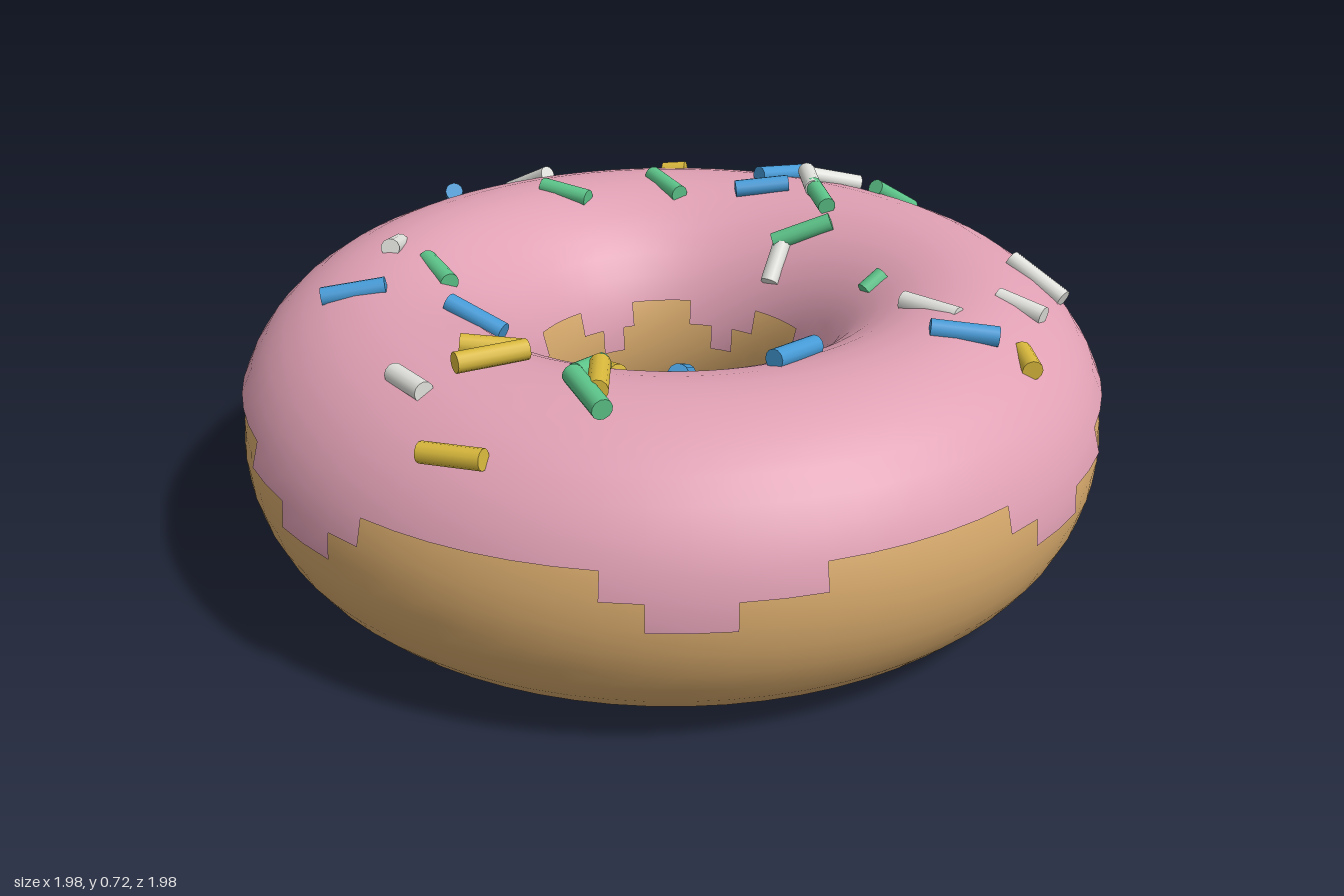
import * as THREE from 'three';

const RING = 0.655, CENTRE_Y = 0.335, DOUGH_R = 0.326, ICING_R = 0.341;
const RADIAL = 36, AROUND = 72;

const paint = (name, color) => {
  const m = new THREE.MeshStandardMaterial({ color });
  m.name = name;
  return m;
};

// Lowest tube angle (degrees above the equator) the icing reaches in a column
function dripLevel(column) {
  const theta = THREE.MathUtils.degToRad((column + 0.5) * 360 / AROUND + 90);
  const wave = -Math.cos(7 * theta);
  return wave > 0.8 ? 0 : wave > 0 ? 10 : 20;
}

// Upper half of a torus, its rim cut into stepped drips
function icingGeometry() {
  const geo = new THREE.TorusGeometry(RING, ICING_R, RADIAL, AROUND);
  const all = geo.index.array, kept = [];
  for (let j = 0; j < RADIAL / 2; j++) {
    const elevation = Math.min(j, RADIAL / 2 - 1 - j) * 360 / RADIAL;
    for (let i = 0; i < AROUND; i++) {
      if (elevation < dripLevel(i)) continue;
      const start = (j * AROUND + i) * 6;
      for (let k = 0; k < 6; k++) kept.push(all[start + k]);
    }
  }
  geo.setIndex(kept);
  return geo.rotateX(-Math.PI / 2);
}

// Point above the icing at x, z
function onIcing(x, z, lift) {
  const d = Math.hypot(x, z) - RING;
  const h = Math.sqrt(Math.max(0, ICING_R ** 2 - d * d));
  const k = lift / ICING_R, out = 1 + k * d / (d + RING);
  return new THREE.Vector3(x * out, CENTRE_Y + h * (1 + k), z * out);
}

// Sprinkles by colour: x1, z1, x2, z2, lift at first end, lift at second end
const SPRINKLES = {
  yellow: [
    [-0.32, -0.70, -0.26, -0.71, -0.008, -0.005], [0.82, 0.05, 0.85, 0.13, -0.012, 0.012],
    [0.03, 0.45, 0.09, 0.49, 0, -0.012], [0.095, 0.59, 0.145, 0.705, 0.02, 0.025],
    [-0.21, 0.605, -0.09, 0.555, 0.012, 0.012], [-0.16, 0.705, -0.065, 0.595, 0.03, 0.025],
    [-0.14, 0.88, -0.005, 0.88, 0.015, 0.015],
  ],
  blue: [
    [-0.79, -0.40, -0.73, -0.30, 0, 0.012], [-0.03, -0.65, 0.04, -0.77, 0.012, 0.012],
    [-0.06, -0.56, 0.06, -0.62, 0.012, 0.012], [0.64, 0.145, 0.77, 0.10, 0.005, 0.015],
    [0.30, 0.22, 0.40, 0.27, 0.008, 0.012], [0.395, 0.41, 0.44, 0.28, 0.012, 0.015],
    [0.19, 0.375, 0.22, 0.49, 0.012, -0.006], [-0.375, 0.37, -0.24, 0.38, 0.012, 0.012],
    [-0.64, 0.445, -0.52, 0.38, 0.01, 0.006],
  ],
  green: [
    [-0.52, -0.385, -0.39, -0.375, 0, 0.008], [-0.30, -0.58, -0.19, -0.50, 0, 0.01],
    [0.13, -0.61, 0.20, -0.52, 0.02, 0.015], [0.10, -0.42, 0.23, -0.465, 0.015, 0.012],
    [0.26, -0.72, 0.32, -0.84, 0.012, 0.015], [0.40, -0.19, 0.43, -0.23, 0, 0],
    [0.075, 0.535, 0.055, 0.615, 0.01, 0], [0.075, 0.67, 0.18, 0.755, 0.025, 0.035],
    [-0.555, 0.14, -0.45, 0.23, -0.01, 0.005],
  ],
  white: [
    [-0.70, -0.55, -0.57, -0.51, 0.012, 0.005], [0.08, -0.72, 0.19, -0.80, 0.012, 0.015],
    [0.08, -0.70, 0.14, -0.59, 0.025, 0.02], [0.115, -0.35, 0.12, -0.42, 0.008, 0.008],
    [0.69, -0.38, 0.82, -0.33, 0.008, 0.012], [0.72, -0.14, 0.82, -0.11, -0.01, 0.012],
    [0.54, -0.02, 0.67, 0.02, 0.01, -0.012], [-0.30, 0.715, -0.20, 0.765, 0, 0.005],
    [-0.66, 0.09, -0.63, 0.18, -0.012, 0.01],
  ],
};

export function createModel() {
  const group = new THREE.Group();
  group.name = 'donut';
  const add = (name, geometry, material, parent = group) => {
    const mesh = new THREE.Mesh(geometry, material);
    mesh.name = name;
    parent.add(mesh);
    return mesh;
  };

  // Dough ring
  const dough = new THREE.TorusGeometry(RING, DOUGH_R, RADIAL, AROUND).rotateX(-Math.PI / 2);
  add('dough', dough, paint('dough', 0xd4a76a)).position.y = CENTRE_Y - 0.005;

  // Icing shell
  const pink = paint('pinkIcing', 0xe0a0b4);
  pink.side = THREE.DoubleSide;
  add('icing', icingGeometry(), pink).position.y = CENTRE_Y;

  // Sprinkles lying on the icing
  const colours = { yellow: 0xd8b83c, blue: 0x459ad6, green: 0x5cc489, white: 0xe0e0dc };
  const sprinkles = new THREE.Group();
  sprinkles.name = 'sprinkles';
  group.add(sprinkles);
  const up = new THREE.Vector3(0, 1, 0);
  for (const [colour, list] of Object.entries(SPRINKLES)) {
    const material = paint(colour + 'Sprinkle', colours[colour]);
    for (const [x1, z1, x2, z2, liftA, liftB] of list) {
      const a = onIcing(x1, z1, liftA), b = onIcing(x2, z2, liftB);
      const along = b.clone().sub(a);
      const rod = new THREE.CylinderGeometry(0.022, 0.022, along.length(), 12);
      const mesh = add(colour + 'Sprinkle', rod, material, sprinkles);
      mesh.position.copy(a).add(b).multiplyScalar(0.5);
      mesh.quaternion.setFromUnitVectors(up, along.normalize());
    }
  }
  return group;
}
